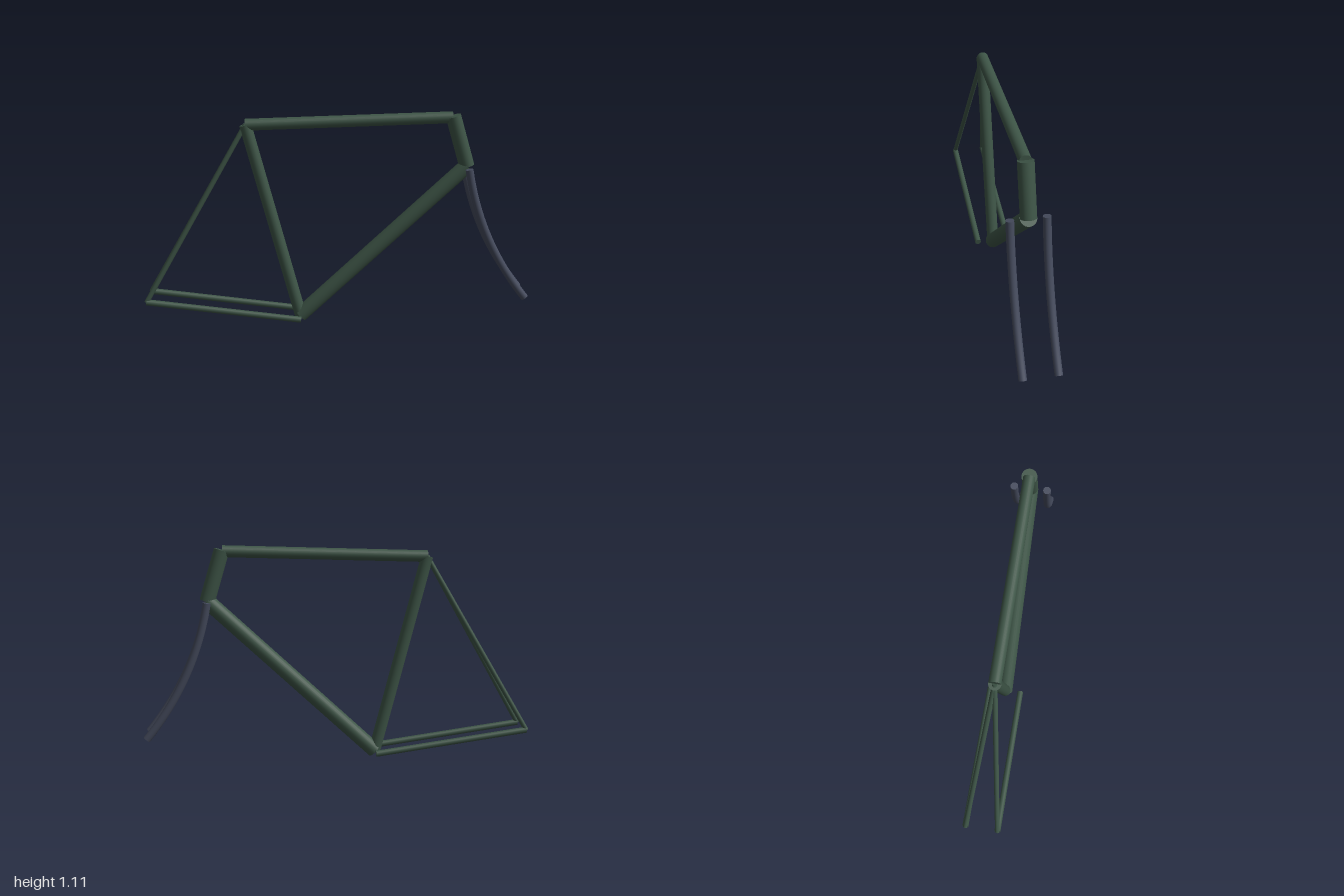
import * as THREE from 'three';

export function createModel() {
  const model = new THREE.Group();
  model.name = 'bicycleFrame';
  const green = new THREE.MeshStandardMaterial({ color: 0x3d5446 });
  const slate = new THREE.MeshStandardMaterial({ color: 0x444a5c });
  const V = (x, y, z = 0) => new THREE.Vector3(x, y, z);

  const add = (name, geometry, material) => {
    const mesh = new THREE.Mesh(geometry, material);
    mesh.name = name;
    model.add(mesh);
    return mesh;
  };

  // Straight capped tube between two points
  const tube = (name, a, b, radius) => {
    const dir = b.clone().sub(a);
    const mesh = add(name, new THREE.CylinderGeometry(radius, radius, dir.length(), 24), green);
    mesh.position.copy(a).add(b).multiplyScalar(0.5);
    mesh.quaternion.setFromUnitVectors(V(0, 1), dir.normalize());
  };

  // Joints of the frame
  const seat = V(-0.46, 1.05);
  const headTop = V(0.588, 1.088);
  const headBottom = V(0.665, 0.831);
  const crank = V(-0.193, 0.03);

  // Main triangle
  tube('topTube', seat, V(0.585, 1.082), 0.03);
  tube('seatTube', seat, crank, 0.031);
  tube('downTube', crank, headBottom, 0.04);
  tube('headTube', headTop, headBottom, 0.039);

  for (const [side, s] of [['left', 1], ['right', -1]]) {
    const z = s * 0.085;

    // Rear stays
    const axle = V(-0.987, 0.14, z);
    tube(side + 'ChainStay', axle, V(-0.19, 0.033, z), 0.016);
    tube(side + 'SeatStay', axle, seat, 0.0125);

    // Curved fork blade with end caps
    const curve = new THREE.QuadraticBezierCurve3(V(0.665, 0.83, z), V(0.73, 0.45, z), V(0.98, 0.143, z));
    add(side + 'ForkBlade', new THREE.TubeGeometry(curve, 24, 0.02, 16), slate);
    for (const t of [0, 1]) {
      const cap = add(side + (t ? 'ForkTip' : 'ForkTop'), new THREE.CircleGeometry(0.02, 16), slate);
      cap.position.copy(curve.getPoint(t));
      cap.quaternion.setFromUnitVectors(V(0, 0, 1), curve.getTangent(t).multiplyScalar(t ? 1 : -1));
    }
  }
  return model;
}
